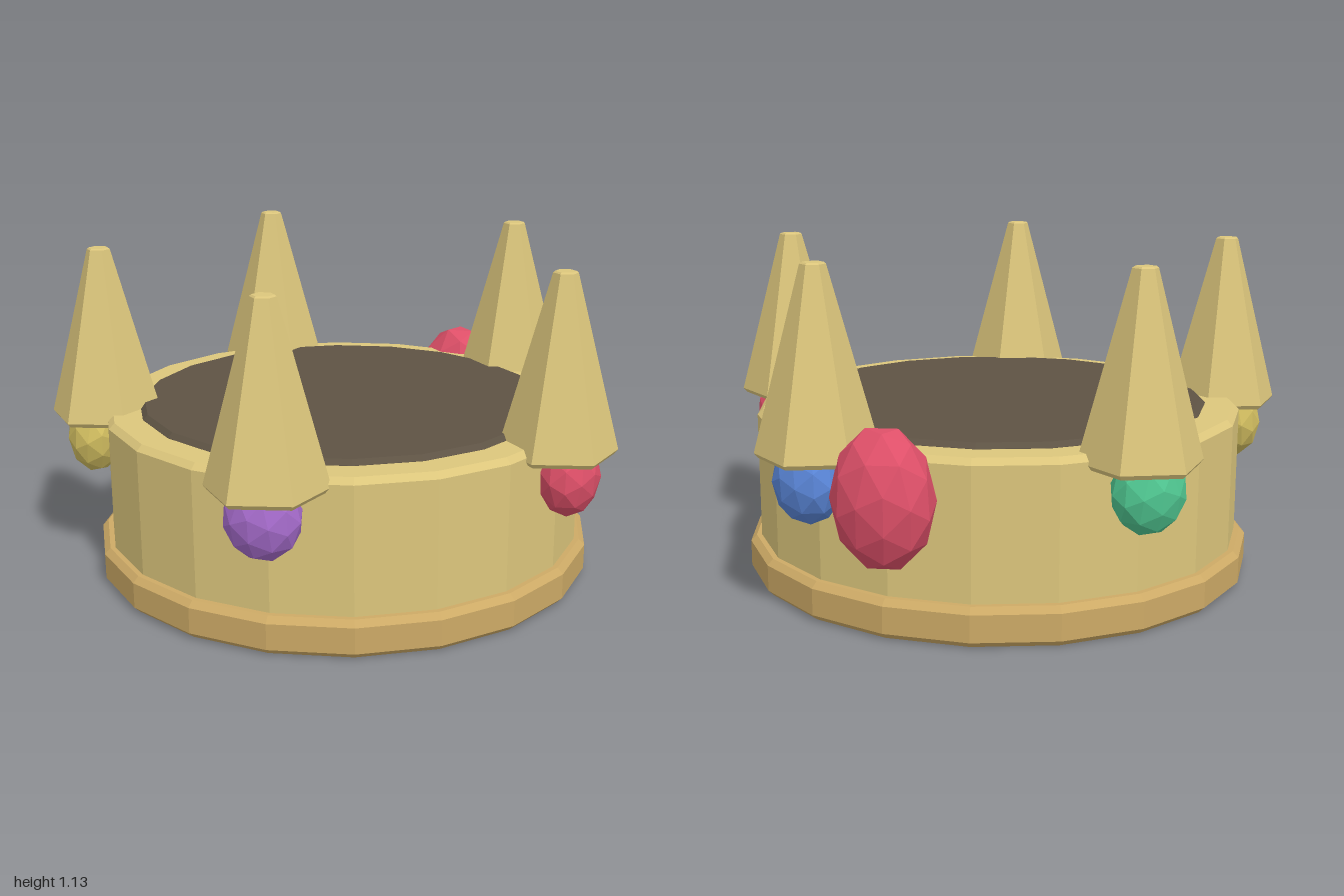
import * as THREE from 'three';

const GOLD = 0xdcc67c, TRIM = 0xcdaa66, LINING = 0x5e5344, RED = 0xdf5069;
const CENTER_X = -0.07, RING = 0.84, GEM_RING = 0.885;

function mesh(name, geometry, color) {
  const m = new THREE.Mesh(geometry, new THREE.MeshStandardMaterial({ color, flatShading: true }));
  m.name = name;
  return m;
}

// Faceted solid of revolution from [radius, height] pairs, bottom to top
function turned(name, profile, sides, color) {
  return mesh(name, new THREE.LatheGeometry(profile.map(([r, y]) => new THREE.Vector2(r, y)), sides), color);
}

// Cut stone resting on a flat facet, stretched to the given half sizes
function stone(name, color, sx, sy, sz) {
  const g = new THREE.IcosahedronGeometry(1, 1);
  const down = new THREE.Vector3(1, 1, 1).normalize();
  g.applyQuaternion(new THREE.Quaternion().setFromUnitVectors(down, new THREE.Vector3(0, -1, 0)));
  g.scale(sx, sy, sz);
  return mesh(name, g, color);
}

export function createModel() {
  const crown = new THREE.Group();
  crown.name = 'crown';

  // Circular band with chamfered foot and dark lining
  const band = new THREE.Group();
  band.name = 'band';
  band.position.x = CENTER_X;
  band.add(
    turned('baseTrim', [[0, 0], [0.86, 0], [0.88, 0.02], [0.88, 0.108], [0.86, 0.128], [0, 0.128]], 20, TRIM),
    turned('bandWall', [[0, 0.06], [0.842, 0.06], [0.842, 0.557], [0.822, 0.577], [0, 0.577]], 20, GOLD),
    turned('lining', [[0.725, 0.56], [0.725, 0.578], [0.708, 0.594], [0, 0.594]], 20, LINING)
  );
  crown.add(band);

  // Five hexagonal spikes, each with a gem set beneath it
  const gems = [
    ['redGem', RED], ['purpleGem', 0xa56bcb], ['yellowGem', 0xd2be60],
    ['greenGem', 0x50c892], ['blueGem', 0x5a86d8]
  ];
  gems.forEach(([name, color], i) => {
    const a = (i * Math.PI * 2) / 5;
    const spike = turned('spike', [[0, 0.53], [0.183, 0.53], [0.195, 0.545], [0.04, 1.125], [0.034, 1.13], [0, 1.13]], 6, GOLD);
    spike.position.set(CENTER_X + RING * Math.cos(a), 0, RING * Math.sin(a));
    const gem = stone(name, color, 0.098, 0.136, 0.125);
    gem.position.set(CENTER_X + GEM_RING * Math.cos(a), 0.46, GEM_RING * Math.sin(a));
    gem.rotation.y = -a;
    crown.add(spike, gem);
  });

  // Large stone on the back of the band
  const large = stone('largeRedGem', RED, 0.168, 0.225, 0.13);
  large.position.set(-0.075, 0.445, -0.872);
  crown.add(large);

  return crown;
}
